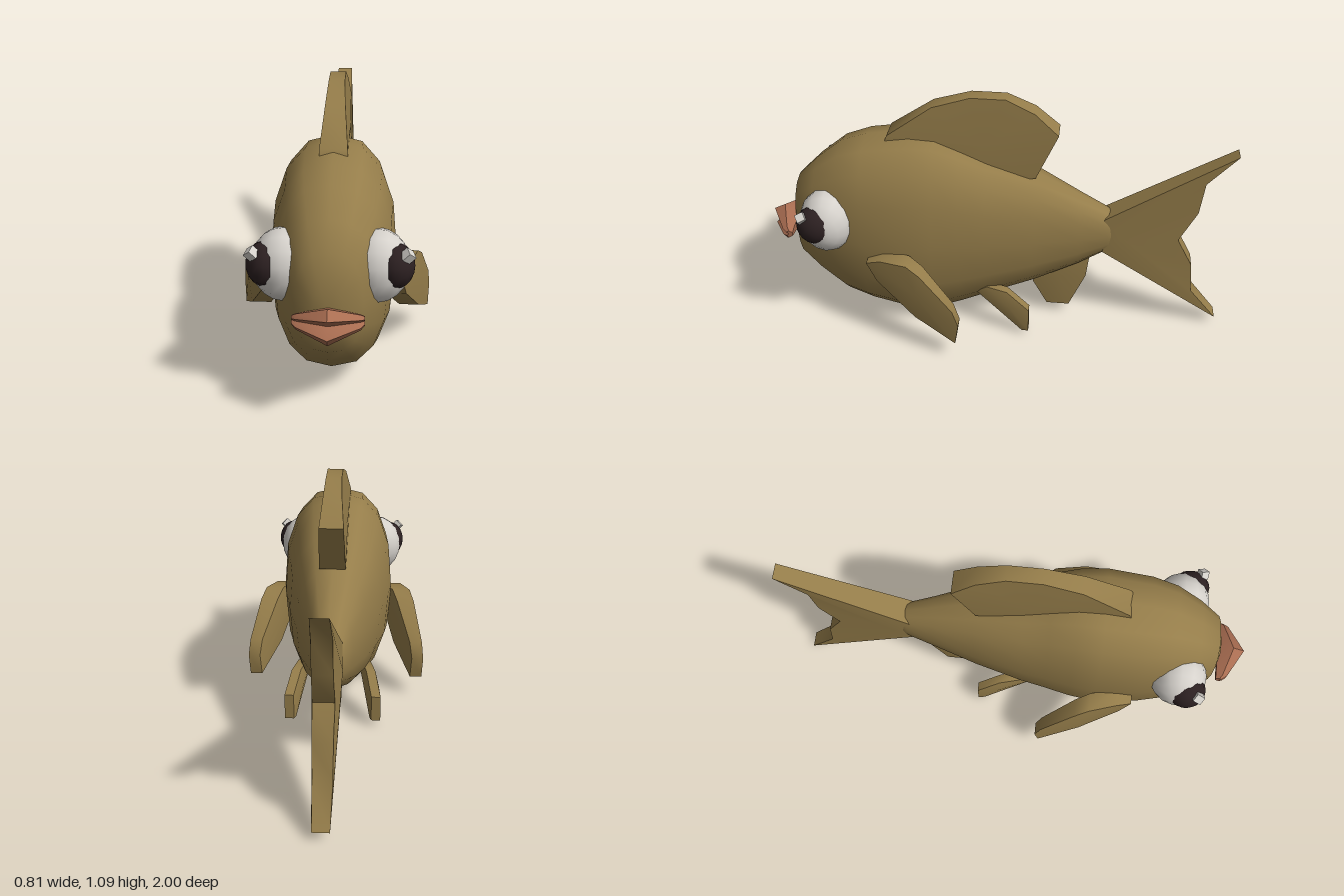
import * as THREE from 'three';
import { toCreasedNormals } from 'three/addons/utils/BufferGeometryUtils.js';

const mat = (name, color) => {
  const m = new THREE.MeshStandardMaterial({ color });
  m.name = name;
  return m;
};

// Skin a list of equal-length rings and close both ends with a fan
function loft(rings, startMid, endMid, crease) {
  const n = rings[0].length, last = (rings.length - 1) * n;
  const pos = [...rings.flat(), startMid, endMid].flat();
  const a = rings.length * n, b = a + 1, index = [];
  for (let j = 0; j < n; j++) {
    const k = (j + 1) % n;
    for (let i = 0; i < last; i += n) {
      index.push(i + j, i + k, i + n + k, i + j, i + n + k, i + n + j);
    }
    index.push(a, k, j, b, last + j, last + k);
  }
  const g = new THREE.BufferGeometry();
  g.setAttribute('position', new THREE.Float32BufferAttribute(pos, 3));
  g.setIndex(index);
  return toCreasedNormals(g, crease);
}

// Fin from a [z, y] outline; centre and half thickness are functions of (z, y)
function finGeometry(outline, mid, centre, edge, midThickness) {
  const area = THREE.ShapeUtils.area(outline.map(([z, y]) => ({ x: -z, y })));
  const pts = area < 0 ? [...outline].reverse() : outline;
  const ring = s => pts.map(([z, y]) => [centre(z, y) + s * edge(z, y), y, z]);
  const cap = s => [centre(...mid) + s * midThickness, mid[1], mid[0]];
  return loft([ring(-1), ring(1)], cap(-1), cap(1), 0.9);
}

export function createModel() {
  const skin = mat('olive skin', 0x957d4a);
  const white = mat('eye white', 0xd6d2cc);
  const black = mat('pupil dark', 0x2c2021);
  const lipMat = mat('lip brown', 0xa96d51);

  const fish = new THREE.Group();
  fish.name = 'fish';
  const add = (name, geometry, material) => {
    const m = new THREE.Mesh(geometry, material);
    m.name = name;
    fish.add(m);
    return m;
  };

  // Body sections: z, top, bottom, half width
  const sections = [
    [-0.55, 0.53, 0.41, 0.04], [-0.49, 0.57, 0.365, 0.065], [-0.37, 0.635, 0.29, 0.095],
    [-0.18, 0.74, 0.195, 0.15], [0.03, 0.81, 0.11, 0.198], [0.14, 0.86, 0.06, 0.215],
    [0.25, 0.905, 0.02, 0.237], [0.36, 0.91, 0.005, 0.25], [0.55, 0.88, 0.05, 0.238],
    [0.66, 0.84, 0.09, 0.215], [0.77, 0.75, 0.18, 0.175], [0.86, 0.66, 0.265, 0.125],
    [0.887, 0.53, 0.36, 0.055],
  ];
  const N = 16;
  const soft = v => Math.sign(v) * Math.abs(v) ** 0.83;
  const rings = sections.map(([z, top, bottom, w]) => Array.from({ length: N }, (_, j) => {
    const t = (j / N) * Math.PI * 2;
    return [w * soft(Math.cos(t)), (top + bottom) / 2 + (top - bottom) / 2 * soft(Math.sin(t)), z];
  }));
  add('body', loft(rings, [0, 0.47, -0.56], [0, 0.44, 0.895], 1.2), skin);

  // Fins on the middle plane
  const middle = () => 0;
  const taper = (v, from, to, a, b) => THREE.MathUtils.mapLinear(THREE.MathUtils.clamp(v, from, to), from, to, a, b);
  add('dorsalFin', finGeometry(
    [[0.46, 0.88], [0.45, 0.905], [0.26, 1.04], [0.1, 1.09], [-0.045, 1.09], [-0.165, 1.035],
      [-0.265, 0.945], [-0.175, 0.74], [0.1, 0.7]],
    [0.05, 0.88], middle, (z, y) => taper(y, 0.9, 1.09, 0.055, 0.033), 0.055), skin);
  add('tailFin', finGeometry(
    [[-0.475, 0.55], [-1, 0.885], [-0.88, 0.75], [-0.865, 0.605], [-0.795, 0.46],
      [-0.865, 0.33], [-0.88, 0.185], [-1, 0.04], [-0.475, 0.38]],
    [-0.55, 0.465], middle, z => taper(z, -1, -0.475, 0.034, 0.055), 0.06), skin);
  add('analFin', finGeometry(
    [[-0.42, 0.32], [-0.41, 0.22], [-0.34, 0.05], [-0.24, 0.05], [-0.175, 0.17], [-0.2, 0.33]],
    [-0.29, 0.22], middle, () => 0.028, 0.045), skin);

  // Lips: a notched section that shrinks towards both corners
  const lipSection = [[0.95, 0.487], [1, 0.462], [0.955, 0.422], [1, 0.388], [0.96, 0.348], [0.89, 0.39], [0.885, 0.46]];
  const lipRings = [[-0.13, 0.25], [-0.115, 0.42], [0, 1], [0.115, 0.42], [0.13, 0.25]].map(([x, s]) =>
    lipSection.map(([z, y]) => [x, 0.418 + (y - 0.418) * s, 0.885 + (z - 0.885) * s]));
  add('lips', loft(lipRings, [-0.13, 0.418, 0.897], [0.13, 0.418, 0.897], 0.6), lipMat);

  // Paired fins and eyes
  for (const [side, s] of [['left', 1], ['right', -1]]) {
    add(side + 'PectoralFin', finGeometry(
      [[0.525, 0.4], [0.46, 0.43], [0.34, 0.445], [0.28, 0.41], [0.14, 0.265], [0.115, 0.195],
        [0.13, 0.095], [0.18, 0.12], [0.31, 0.185], [0.48, 0.32]],
      [0.3, 0.31], z => s * (0.235 + 0.35 * (0.52 - z)), z => taper(z, 0.12, 0.3, 0.026, 0.04), 0.05), skin);
    add(side + 'PelvicFin', finGeometry(
      [[0.07, 0.19], [0.02, 0.225], [-0.07, 0.22], [-0.17, 0.145], [-0.17, 0.03], [-0.14, 0.025]],
      [-0.08, 0.15], z => s * (0.13 + 0.25 * (0.07 - z)), () => 0.02, 0.034), skin);

    const ball = (name, x, y, z, rx, ry, rz, material) => {
      const g = new THREE.SphereGeometry(1, 14, 10).rotateZ(Math.PI / 2).scale(rx, ry, rz);
      add(side + name, g, material).position.set(s * x, y, z);
    };
    ball('Eyeball', 0.172, 0.545, 0.703, 0.122, 0.142, 0.12, white);
    ball('Pupil', 0.235, 0.56, 0.737, 0.074, 0.087, 0.083, black);
    const glint = add(side + 'EyeGlint', new THREE.BoxGeometry(0.036, 0.036, 0.036), white);
    glint.position.set(s * 0.28, 0.618, 0.782);
    glint.rotation.set(0.4, s * 0.3, s * 0.75);
  }
  return fish;
}
